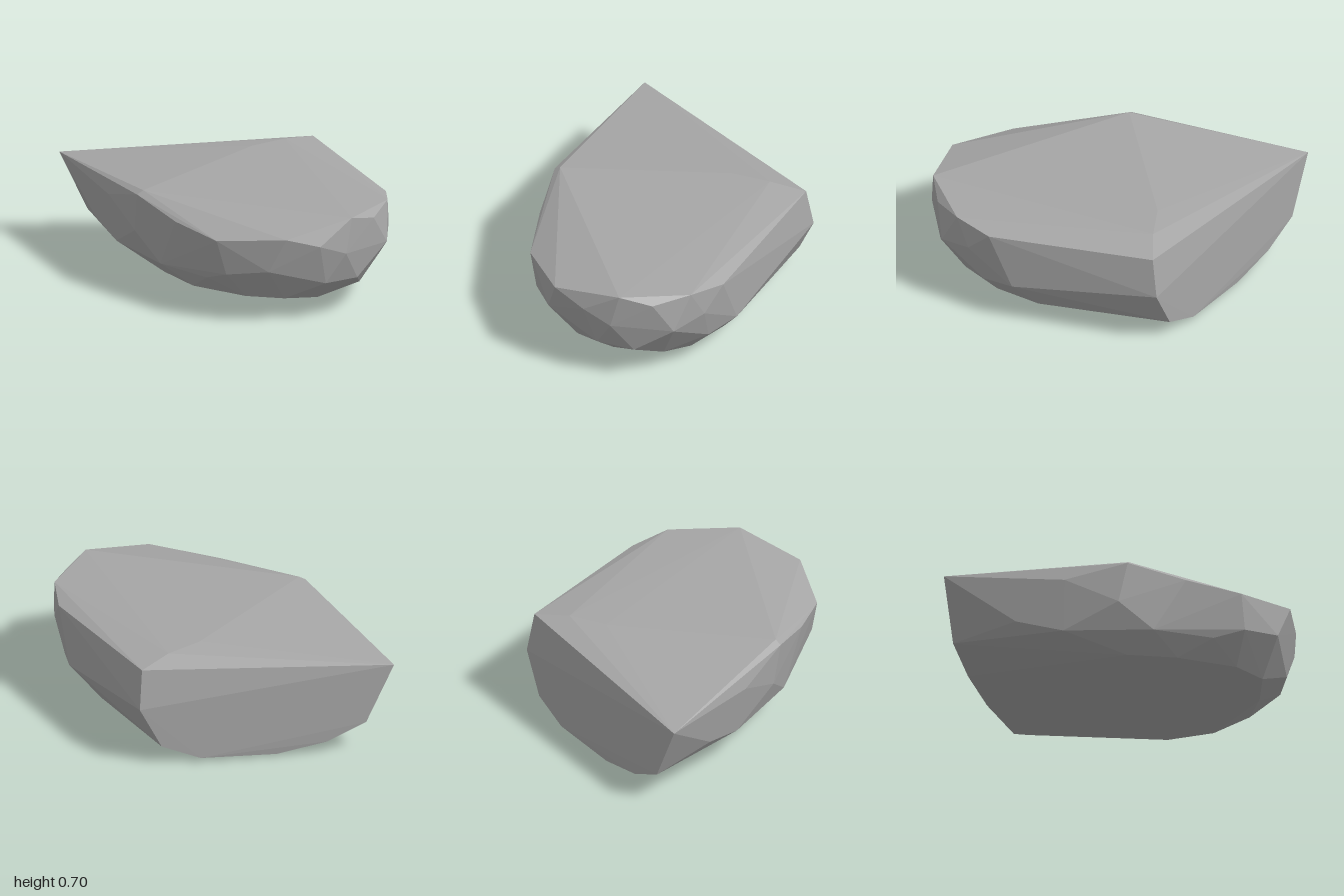
import * as THREE from 'three';
import { ConvexGeometry } from 'three/addons/geometries/ConvexGeometry.js';

// Corners of the faceted boulder, in loops from the crown down to the base.
const crown = [
  [-0.55, 0.695, 0.17], [0.2, 0.697, -0.62], [0.42, 0.695, -0.75],
];
const rim = [
  [-1, 0.59, -0.91], [-0.59, 0.67, 0.18], [-0.37, 0.59, 0.49], [-0.13, 0.55, 0.77],
  [0.3, 0.6, 0.93], [0.73, 0.68, 0.76], [0.88, 0.625, 0.61], [0.985, 0.665, 0.38],
  [0.995, 0.63, 0.12], [0.61, 0.66, -0.89],
];
const upperWall = [
  [-0.745, 0.55, -0.19], [-0.6, 0.41, 0.12], [-0.07, 0.325, 0.77], [0.19, 0.375, 0.89],
  [0.52, 0.53, 0.88], [0.69, 0.455, 0.8], [0.97, 0.43, 0.51], [1, 0.48, 0.28],
  [0.63, 0.4, -0.935],
];
const lowerWall = [
  [-0.8, 0.29, -0.5], [-0.69, 0.225, -0.22], [-0.45, 0.245, 0.3], [-0.18, 0.25, 0.6],
  [0.56, 0.26, 0.8], [0.77, 0.25, 0.67], [0.945, 0.245, 0.2], [0.95, 0.28, -0.03],
  [0.49, 0.13, -0.935], [-0.82, 0.2, -0.92],
];
const belly = [
  [-0.41, 0.12, 0.1], [-0.25, 0.12, 0.38], [0.06, 0.14, 0.66], [0.3, 0.145, 0.74],
  [0.52, 0.11, 0.63], [0.8, 0.145, 0.45], [0.785, 0.07, 0.21], [0.75, 0.06, -0.09],
  [-0.57, 0.08, -0.92],
];
const base = [
  [0.3, 0.05, 0.41], [0.1, 0.02, 0.1], [0.55, 0.02, -0.1], [0.1, 0, -0.15],
  [0.15, 0.005, -0.86], [0.24, 0.03, -0.935], [-0.25, 0.015, -0.92],
];

export function createModel() {
  const group = new THREE.Group();
  group.name = 'rock';

  const stone = new THREE.MeshStandardMaterial({ color: 0xa6a6a6 });
  stone.name = 'grey stone';
  stone.flatShading = true;

  // One convex faceted boulder with a flat top and a sheer cut back
  const corners = [crown, rim, upperWall, lowerWall, belly, base].flat()
    .map((p) => new THREE.Vector3(...p));
  const boulder = new THREE.Mesh(new ConvexGeometry(corners), stone);
  boulder.name = 'boulder';
  group.add(boulder);
  return group;
}
